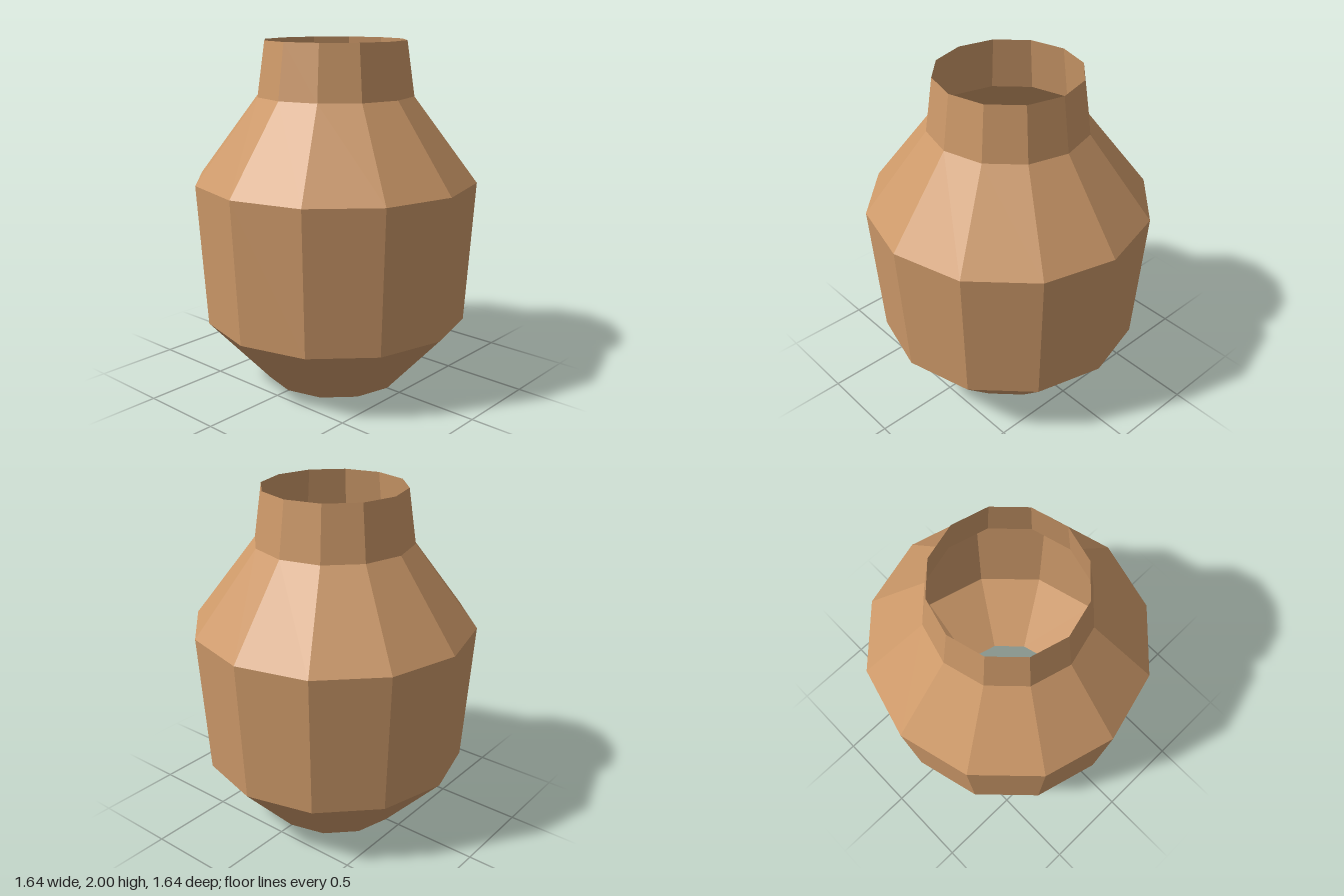
import * as THREE from 'three';

const SIDES = 12;

export function createModel() {
  const clay = new THREE.MeshStandardMaterial({
    color: 0xcd9969,
    flatShading: true,
    side: THREE.DoubleSide,
  });
  clay.name = 'clay';

  // Thin-walled pot, open at both ends: rings as [radius, height]
  const rings = [[0.41, 0], [0.77, 0.39], [0.82, 1.21], [0.455, 1.69], [0.41, 2]];
  const names = ['taperedBase', 'belly', 'shoulder', 'neck'];

  const pot = new THREE.Group();
  pot.name = 'pot';
  names.forEach((name, i) => {
    const profile = [rings[i], rings[i + 1]].map(([r, y]) => new THREE.Vector2(r, y));
    const band = new THREE.Mesh(new THREE.LatheGeometry(profile, SIDES), clay);
    band.name = name;
    pot.add(band);
  });
  return pot;
}
